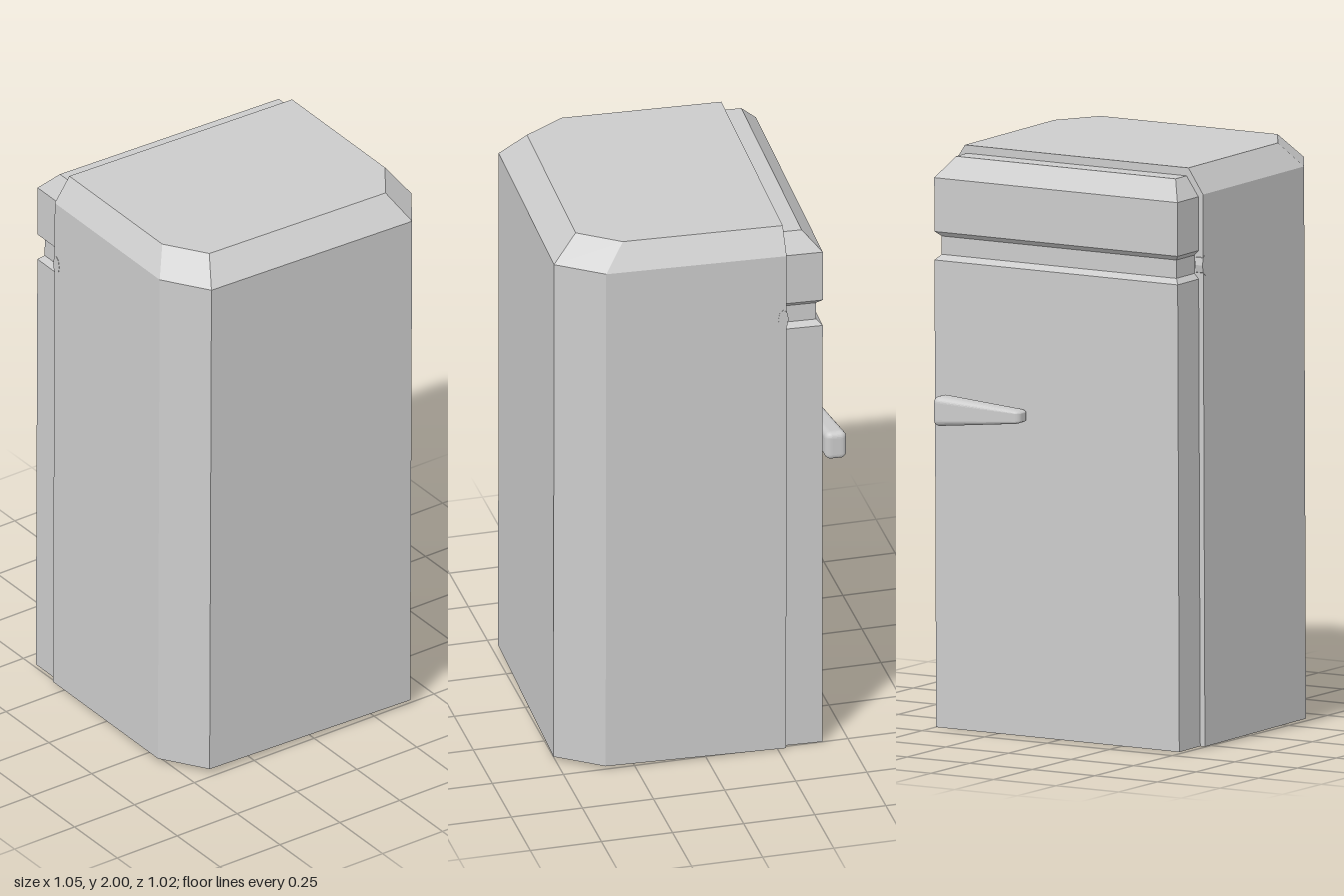
import * as THREE from 'three';
import { RoundedBoxGeometry } from 'three/addons/geometries/RoundedBoxGeometry.js';

// Flat-shaded loft through rings {y, pts}; pts run counterclockwise seen from above
function loft(rings) {
  const n = rings[0].pts.length, pos = [], idx = [];
  for (const { y, pts } of rings) for (const [x, z] of pts) pos.push(x, y, z);
  for (let r = 0; r < rings.length - 1; r++) {
    for (let i = 0; i < n; i++) {
      const a = r * n + i, b = r * n + (i + 1) % n;
      idx.push(a, b, b + n, a, b + n, a + n);
    }
  }
  const top = (rings.length - 1) * n;
  for (let i = 1; i < n - 1; i++) {
    idx.push(top, top + i, top + i + 1); // top cap
    idx.push(0, i + 1, i);               // bottom cap
  }
  const g = new THREE.BufferGeometry();
  g.setAttribute('position', new THREE.Float32BufferAttribute(pos, 3));
  g.setIndex(idx);
  const flat = g.toNonIndexed();
  flat.computeVertexNormals();
  return flat;
}

// Mirror one half outline (front to back, x > 0) into a full ring
const mirrored = half => [...half, ...half.map(([x, z]) => [-x, z]).reverse()];

// The whole cabinet leans very slightly out of square
const lean = new THREE.Matrix4().set(
  1, 0.004, -0.02, -0.004,
  -0.003, 1, 0.017, 0,
  0.03, 0, 1, 0,
  0, 0, 0, 1);

export function createModel() {
  const group = new THREE.Group();
  const flatMat = new THREE.MeshStandardMaterial({ color: 0xcccccc, flatShading: true });
  const smoothMat = new THREE.MeshStandardMaterial({ color: 0xcccccc });
  const add = (name, geometry, material = flatMat) => {
    geometry.applyMatrix4(lean);
    const mesh = new THREE.Mesh(geometry, material);
    mesh.name = name;
    group.add(mesh);
  };

  // Cabinet: chamfered corners and a bevelled top
  const outer = mirrored([[0.41, 0.495], [0.514, 0.337], [0.514, -0.294]]);
  const inner = mirrored([[0.36, 0.408], [0.455, 0.265], [0.455, -0.294]]);
  add('cabinet', loft([
    { y: 0.007, pts: outer },
    { y: 1.906, pts: outer },
    { y: 1.993, pts: inner },
  ]));

  // Door slab on the -z side, with a groove dividing off the upper panel
  const doorRings = [ // y, half width, outer z
    [0.007, 0.495, -0.425], [1.614, 0.495, -0.425],
    [1.632, 0.478, -0.406], [1.695, 0.478, -0.406],
    [1.712, 0.495, -0.425], [1.897, 0.495, -0.425],
    [1.965, 0.447, -0.362],
  ];
  add('door', loft(doorRings.map(([y, w, z]) => ({ y, pts: mirrored([[w, -0.28], [w, z]]) }))));

  // Small hinge caps where the groove meets the cabinet
  for (const side of [1, -1]) {
    const hinge = new THREE.CylinderGeometry(0.036, 0.036, 0.03, 8).toNonIndexed();
    hinge.rotateZ(Math.PI / 2).scale(1, 1, 0.5).translate(side * 0.5, 1.663, -0.283);
    add(side > 0 ? 'leftHinge' : 'rightHinge', hinge);
  }

  // Handle: rounded bar tapering toward the middle of the door
  const handle = new RoundedBoxGeometry(0.33, 0.106, 0.076, 4, 0.022);
  const p = handle.attributes.position;
  for (let i = 0; i < p.count; i++) {
    const t = p.getX(i) / 0.33 + 0.5; // 0 at the thin end, 1 at the thick end
    p.setY(i, p.getY(i) * (0.4 + 0.6 * t));
    p.setZ(i, p.getZ(i) * (0.8 + 0.2 * t) - 0.457 - 0.03 * t);
  }
  handle.computeVertexNormals();
  handle.translate(0.279, 1.112, 0);
  add('handle', handle, smoothMat);

  return group;
}
